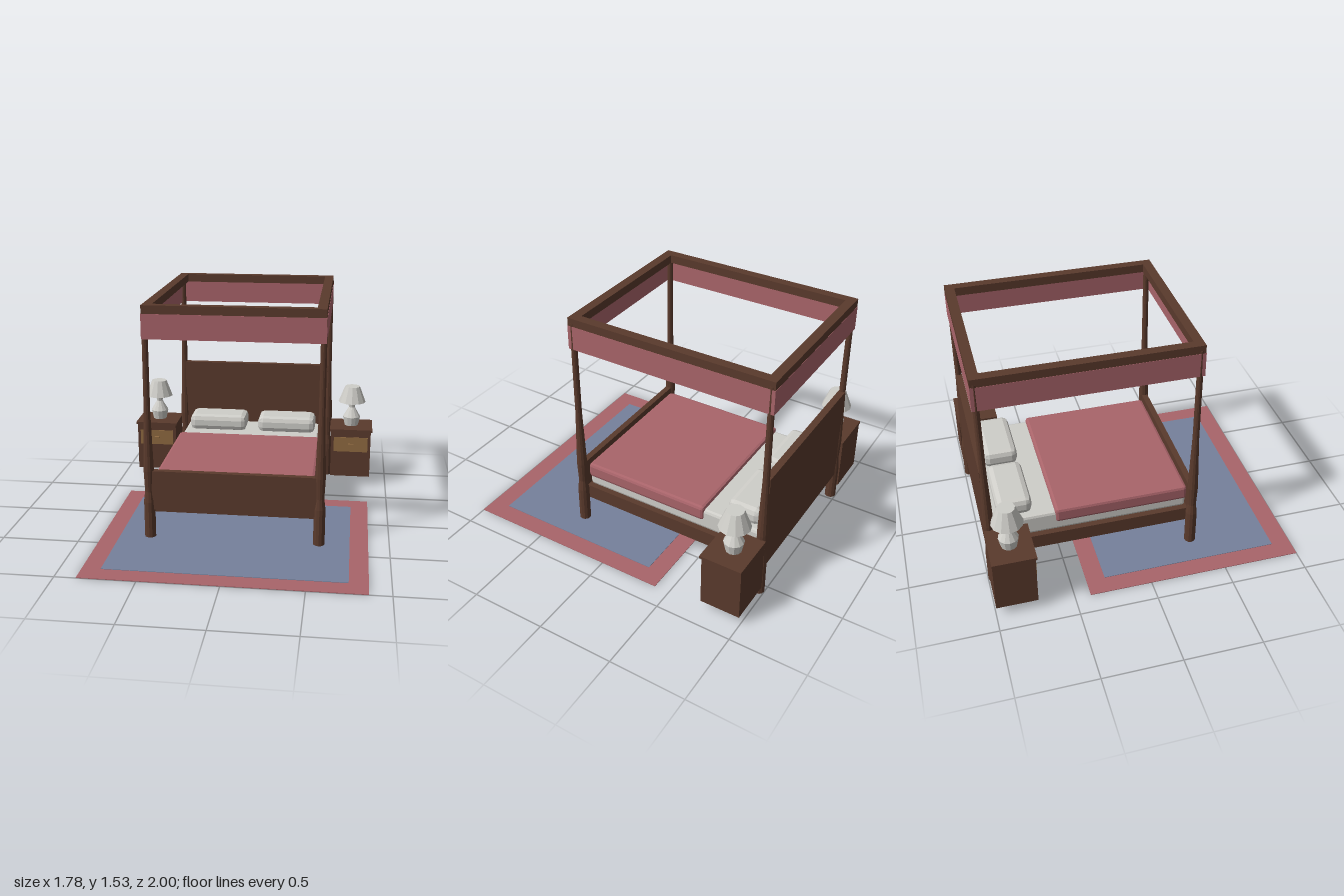
import * as THREE from 'three';
import { RoundedBoxGeometry } from 'three/addons/geometries/RoundedBoxGeometry.js';

const mat = (name, color) => {
  const m = new THREE.MeshStandardMaterial({ color });
  m.name = name;
  return m;
};

export function createModel() {
  const wood = mat('dark wood', 0x5a3a2c);
  const pink = mat('rose fabric', 0xa9646a);
  const blue = mat('blue carpet', 0x76819c);
  const white = mat('white linen', 0xcfcec9);
  const tan = mat('light wood', 0x8f6a41);

  const model = new THREE.Group();
  model.name = 'bedroomSet';

  const add = (parent, name, geometry, material) => {
    const mesh = new THREE.Mesh(geometry, material);
    mesh.name = name;
    parent.add(mesh);
    return mesh;
  };
  // box given by its extents on each axis
  const box = (parent, name, material, [x0, x1], [y0, y1], [z0, z1], bevel = 0) => {
    const size = [x1 - x0, y1 - y0, z1 - z0];
    const g = bevel ? new RoundedBoxGeometry(...size, 1, bevel) : new THREE.BoxGeometry(...size);
    if (bevel) g.computeVertexNormals(); // faceted bevels
    g.translate((x0 + x1) / 2, (y0 + y1) / 2, (z0 + z1) / 2);
    return add(parent, name, g, material);
  };
  // faceted turned shape from [radius, height] pairs
  const turned = (profile, sides) => {
    const points = profile.map(([r, y]) => new THREE.Vector2(r, y));
    const g = new THREE.LatheGeometry(points, sides).toNonIndexed();
    g.computeVertexNormals();
    return g;
  };

  // Rug
  box(model, 'rugBorder', pink, [-0.865, 0.865], [0, 0.004], [-0.4, 1]);
  box(model, 'rugCentre', blue, [-0.747, 0.747], [0.004, 0.007], [-0.28, 0.875]);

  // Bed frame
  const bed = new THREE.Group();
  bed.name = 'bed';
  model.add(bed);
  const postShape = turned([[0, 0], [0.037, 0], [0.037, 0.25], [0.028, 0.32],
    [0.034, 0.46], [0.028, 0.64], [0.021, 0.86], [0.019, 1.5], [0, 1.5]], 12);
  for (const x of [-0.55, 0.55]) {
    for (const z of [-0.962, 0.362]) {
      add(bed, 'bedPost', postShape, wood).position.set(x, 0, z);
    }
  }
  box(bed, 'bedBase', wood, [-0.53, 0.53], [0.17, 0.268], [-0.95, 0.342]);
  box(bed, 'headboard', wood, [-0.54, 0.54], [0.2, 0.865], [-0.985, -0.94]);
  box(bed, 'footboard', wood, [-0.53, 0.53], [0.2, 0.463], [0.342, 0.382]);

  // Bedding
  box(bed, 'mattress', white, [-0.502, 0.502], [0.268, 0.413], [-0.935, 0.335], 0.02);
  box(bed, 'blanket', pink, [-0.515, 0.515], [0.335, 0.437], [-0.535, 0.338], 0.02);
  for (const s of [-1, 1]) {
    const pillow = box(bed, 'pillow', white, [-0.21, 0.21], [0.405, 0.523], [-0.895, -0.67], 0.038);
    pillow.position.x = s * 0.254;
  }

  // Canopy frame and hanging valance
  const canopy = new THREE.Group();
  canopy.name = 'canopy';
  model.add(canopy);
  const rim = (name, material, half, z0, z1, width, y) => {
    for (const s of [-1, 1]) {
      const xs = [s * half, s * (half - width)].sort((a, b) => a - b);
      box(canopy, name, material, xs, y, [z0, z1]);
    }
    const inner = [-half + width, half - width];
    box(canopy, name, material, inner, y, [z0, z0 + width]);
    box(canopy, name, material, inner, y, [z1 - width, z1]);
  };
  rim('canopyFrame', wood, 0.566, -0.987, 0.387, 0.06, [1.48, 1.535]);
  rim('valance', pink, 0.568, -0.988, 0.389, 0.012, [1.325, 1.482]);

  // Nightstands with lamps
  const lampBase = turned([[0, 0.433], [0.05, 0.433], [0.064, 0.5], [0.022, 0.572], [0.03, 0.62]], 12);
  const lampShade = turned([[0, 0.615], [0.1, 0.615], [0.055, 0.732], [0, 0.732]], 12);
  for (const s of [-1, 1]) {
    const stand = new THREE.Group();
    stand.name = s < 0 ? 'rightNightstand' : 'leftNightstand';
    stand.position.x = s * 0.733;
    model.add(stand);
    box(stand, 'cabinet', wood, [-0.146, 0.146], [0.068, 0.42], [-0.997, -0.735]);
    box(stand, 'cabinetTop', wood, [-0.156, 0.156], [0.418, 0.434], [-1, -0.725]);
    box(stand, 'drawerFront', tan, [-0.125, 0.125], [0.262, 0.373], [-0.737, -0.73]);
    box(stand, 'drawerHandle', tan, [-0.02, 0.02], [0.314, 0.325], [-0.732, -0.714]);
    add(stand, 'lampBase', lampBase, white).position.z = -0.868;
    add(stand, 'lampShade', lampShade, white).position.z = -0.868;
  }
  return model;
}
